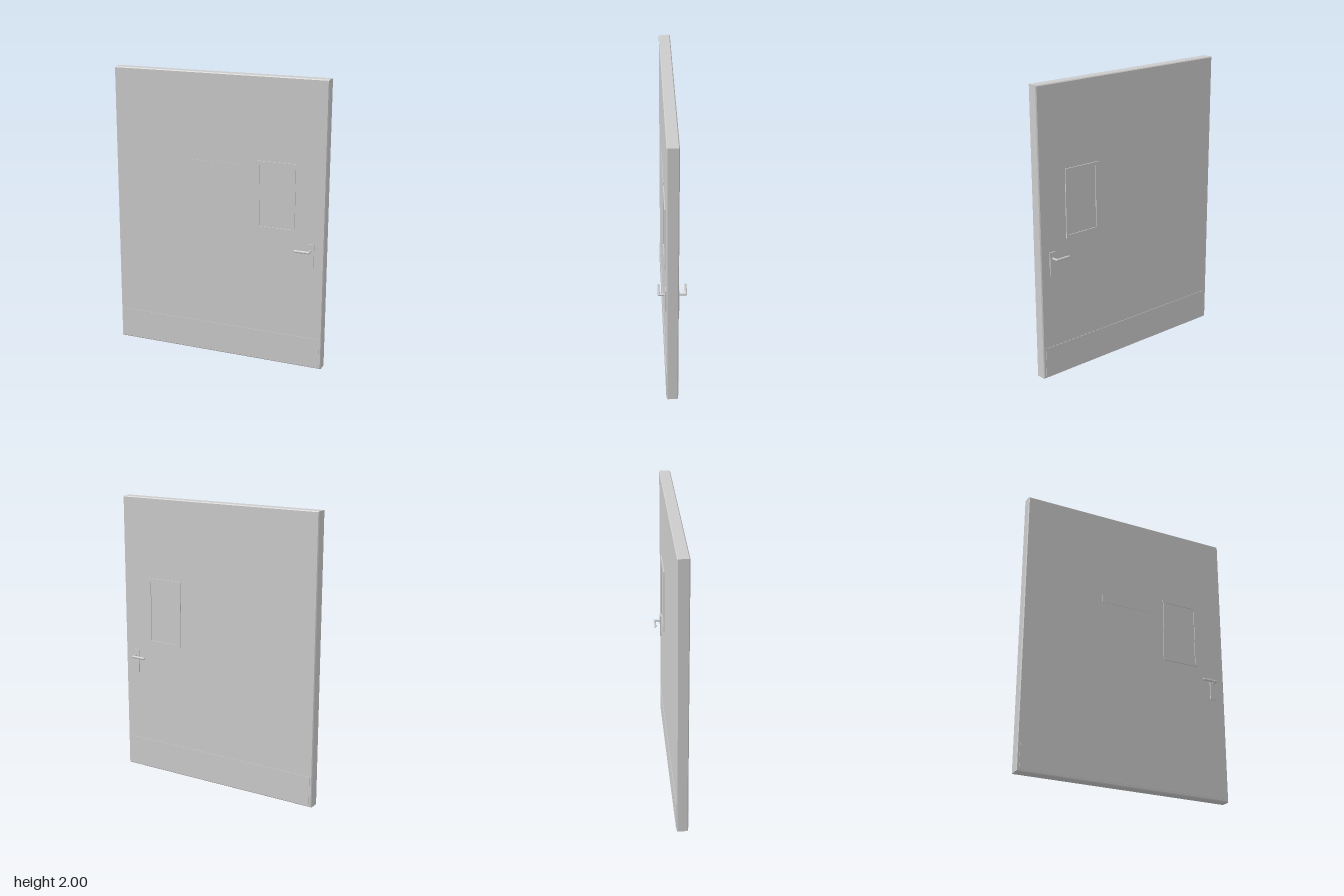
import * as THREE from 'three';

const material = new THREE.MeshStandardMaterial({ color: 0xcccccc });
const FACE = 0.039; // half the leaf thickness

function rect(shape, x0, y0, x1, y1) {
  shape.moveTo(x0, y0);
  shape.lineTo(x1, y0);
  shape.lineTo(x1, y1);
  shape.lineTo(x0, y1);
  shape.closePath();
  return shape;
}

function add(parent, name, geometry, x = 0, y = 0, z = 0) {
  const mesh = new THREE.Mesh(geometry, material);
  mesh.name = name;
  mesh.position.set(x, y, z);
  parent.add(mesh);
  return mesh;
}

// Thin plate lying on the front (side 1) or back (side -1) of the leaf
function plate(parent, name, x0, y0, x1, y1, thickness, side) {
  const geometry = new THREE.BoxGeometry(x1 - x0, y1 - y0, thickness);
  add(parent, name, geometry, (x0 + x1) / 2, (y0 + y1) / 2, side * (FACE + thickness / 2));
}

export function createModel() {
  const door = new THREE.Group();
  door.name = 'door';

  // Door leaf with small chamfers on every edge
  const bevel = 0.006;
  const leaf = new THREE.ExtrudeGeometry(rect(new THREE.Shape(), -0.767 + bevel, bevel, 0.767 - bevel, 2 - bevel), {
    depth: 2 * (FACE - bevel), bevelEnabled: true, bevelSize: bevel, bevelThickness: bevel, bevelSegments: 1,
  });
  add(door, 'doorLeaf', leaf, 0, 0, -FACE + bevel);

  // Sign plate, front only
  plate(door, 'signPlate', -0.195, 1.303, 0.19, 1.398, 0.003, 1);

  for (const side of [1, -1]) {
    const fittings = new THREE.Group();
    fittings.name = side > 0 ? 'frontFittings' : 'backFittings';
    door.add(fittings);

    plate(fittings, 'kickPlate', -0.748, 0.016, 0.748, 0.22, 0.003, side);

    // Window: raised frame around a shallow-set pane
    const frameShape = rect(new THREE.Shape(), 0.285, 0.96, 0.558, 1.434);
    frameShape.holes.push(rect(new THREE.Path(), 0.306, 0.981, 0.537, 1.411));
    const frame = new THREE.ExtrudeGeometry(frameShape, { depth: 0.007, bevelEnabled: false });
    add(fittings, 'windowFrame', frame, 0, 0, side > 0 ? FACE : -FACE - 0.007);
    plate(fittings, 'windowPane', 0.306, 0.981, 0.537, 1.411, 0.001, side);

    // Handle: back plate, spindle and lever
    plate(fittings, 'handlePlate', 0.653, 0.728, 0.698, 0.895, 0.008, side);
    const spindle = new THREE.CylinderGeometry(0.0075, 0.0075, 0.05, 16);
    add(fittings, 'handleSpindle', spindle, 0.675, 0.851, side * 0.064).rotation.x = Math.PI / 2;
    const lever = new THREE.CapsuleGeometry(0.0085, 0.097, 4, 16);
    add(fittings, 'handleLever', lever, 0.626, 0.851, side * 0.088).rotation.z = Math.PI / 2;
  }

  return door;
}
